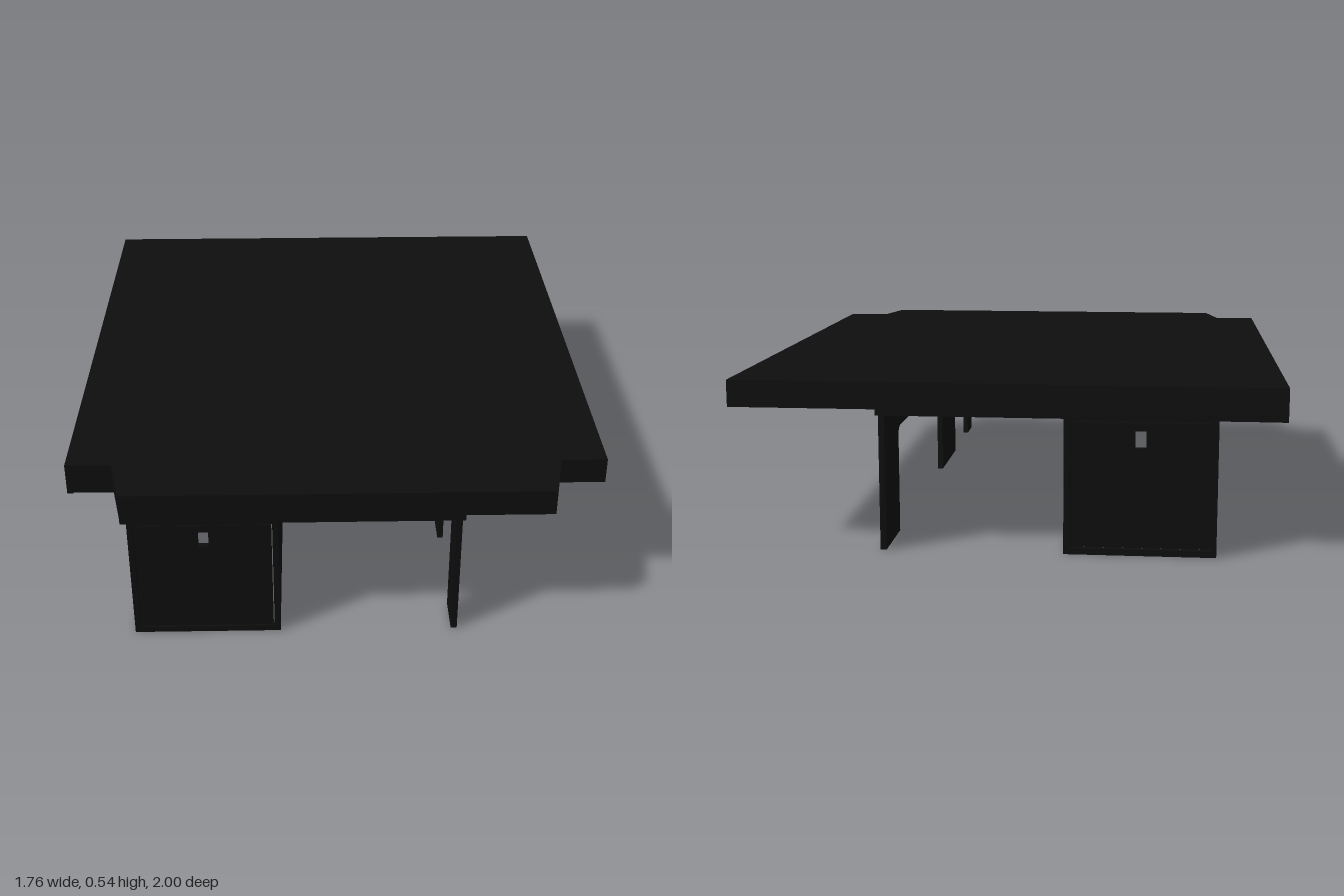
import * as THREE from 'three';

const black = new THREE.MeshStandardMaterial({ color: 0x0d0d0d });
black.name = 'matte black';

const T = 0.02; // board thickness

// Rounded rectangle traced on a Shape or Path
function roundRect(path, x0, x1, y0, y1, r) {
  path.moveTo(x0 + r, y0);
  path.lineTo(x1 - r, y0);
  path.quadraticCurveTo(x1, y0, x1, y0 + r);
  path.lineTo(x1, y1 - r);
  path.quadraticCurveTo(x1, y1, x1 - r, y1);
  path.lineTo(x0 + r, y1);
  path.quadraticCurveTo(x0, y1, x0, y1 - r);
  path.lineTo(x0, y0 + r);
  path.quadraticCurveTo(x0, y0, x0 + r, y0);
  return path;
}

const rect = ([a, b, y0, y1, r = 0.001]) => roundRect(new THREE.Shape(), a, b, y0, y1, r);

// Board in the XY plane with cut-outs, given as [x0, x1, y0, y1, radius]
function board(name, outline, holes = [], depth = T) {
  const shape = Array.isArray(outline) ? rect(outline) : outline;
  for (const [a, b, y0, y1, r = 0.001] of holes) {
    shape.holes.push(roundRect(new THREE.Path(), a, b, y0, y1, r));
  }
  const geo = new THREE.ExtrudeGeometry(shape, { depth, bevelEnabled: false, curveSegments: 5 });
  const mesh = new THREE.Mesh(geo, black);
  mesh.name = name;
  return mesh;
}

// Turn a board to face sideways: its width runs along z, its outer face is at x
function sideways(mesh, x) {
  mesh.rotation.y = -Math.PI / 2;
  mesh.position.x = x;
  return mesh;
}

function box(name, x0, x1, y0, y1, z0, z1) {
  const mesh = new THREE.Mesh(new THREE.BoxGeometry(x1 - x0, y1 - y0, z1 - z0), black);
  mesh.name = name;
  mesh.position.set((x0 + x1) / 2, (y0 + y1) / 2, (z0 + z1) / 2);
  return mesh;
}

export function createModel() {
  const model = new THREE.Group();
  model.name = 'platformBed';

  // Mattress with a narrower tapered front
  const outline = new THREE.Shape([
    [-0.88, 1], [-0.88, -0.82], [-0.73, -0.82], [-0.69, -1],
    [0.69, -1], [0.73, -0.82], [0.88, -0.82], [0.88, 1],
  ].map(([x, y]) => new THREE.Vector2(x, y)));
  const mattress = board('mattress', outline, [], 0.087);
  mattress.rotation.x = -Math.PI / 2;
  mattress.position.y = 0.455;
  model.add(mattress);

  // Slatted base under the mattress
  const slats = new THREE.Group();
  slats.name = 'slats';
  const count = 13;
  const pitch = 1.82 / count;
  for (let i = 0; i < count; i++) {
    const z = -1 + i * pitch;
    slats.add(box('slat', -0.86, 0.385, 0.435, 0.455, z + 0.003, z + pitch - 0.003));
  }
  slats.add(box('frontSlat', -0.69, 0.405, 0.435, 0.455, 0.823, 1));
  slats.add(box('outerEdge', -0.88, -0.86, 0.435, 0.455, -1, 0.82));
  slats.add(box('innerEdge', 0.385, 0.405, 0.435, 0.455, -1, 0.82));
  model.add(slats);

  // Cabinet ends: frame and door with a finger hole
  for (const [name, z] of [['front', 1 - T], ['back', -1]]) {
    const frame = board(name + 'Frame', [-0.67, -0.19, 0, 0.435], [[-0.652, -0.208, 0.02, 0.43]]);
    const door = board(name + 'Door', [-0.647, -0.213, 0.026, 0.427],
      [[-0.447, -0.413, 0.345, 0.4]]);
    frame.position.z = door.position.z = z;
    model.add(frame, door);
  }

  // Inner cabinet wall with two doors
  const doors = [[0.49, 0.89], [-0.77, 0.15]];
  model.add(sideways(board('innerWall', [-1 + T, 1 - T, 0, 0.435],
    doors.map(([a, b]) => [a, b, 0.02, 0.355, 0.03])), -0.19));
  for (const [a, b] of doors) {
    const m = (a + b) / 2;
    model.add(sideways(board('sideDoor', [a + 0.005, b - 0.005, 0.025, 0.35, 0.027],
      [[m - 0.017, m + 0.017, 0.275, 0.332]]), -0.19));
  }

  // Outer cabinet wall with one long opening above a floor rail
  model.add(sideways(board('outerWall', [-1 + T, 1 - T, 0, 0.435],
    [[-0.74, 0.715, 0.08, 0.345, 0.03]]), -0.65));

  // Support panel with three legs and rounded arches between them
  const legs = new THREE.Shape();
  legs.moveTo(-1, 0);
  legs.lineTo(-0.77, 0);
  for (const [a, b] of [[-0.77, 0.15], [0.49, 0.87]]) {
    legs.lineTo(a, 0);
    legs.lineTo(a, 0.32);
    legs.quadraticCurveTo(a, 0.355, a + 0.035, 0.355);
    legs.lineTo(b - 0.035, 0.355);
    legs.quadraticCurveTo(b, 0.355, b, 0.32);
    legs.lineTo(b, 0);
  }
  legs.lineTo(1, 0);
  legs.lineTo(1, 0.435);
  legs.lineTo(-1, 0.435);
  model.add(sideways(board('legPanel', legs), 0.395));

  return model;
}
